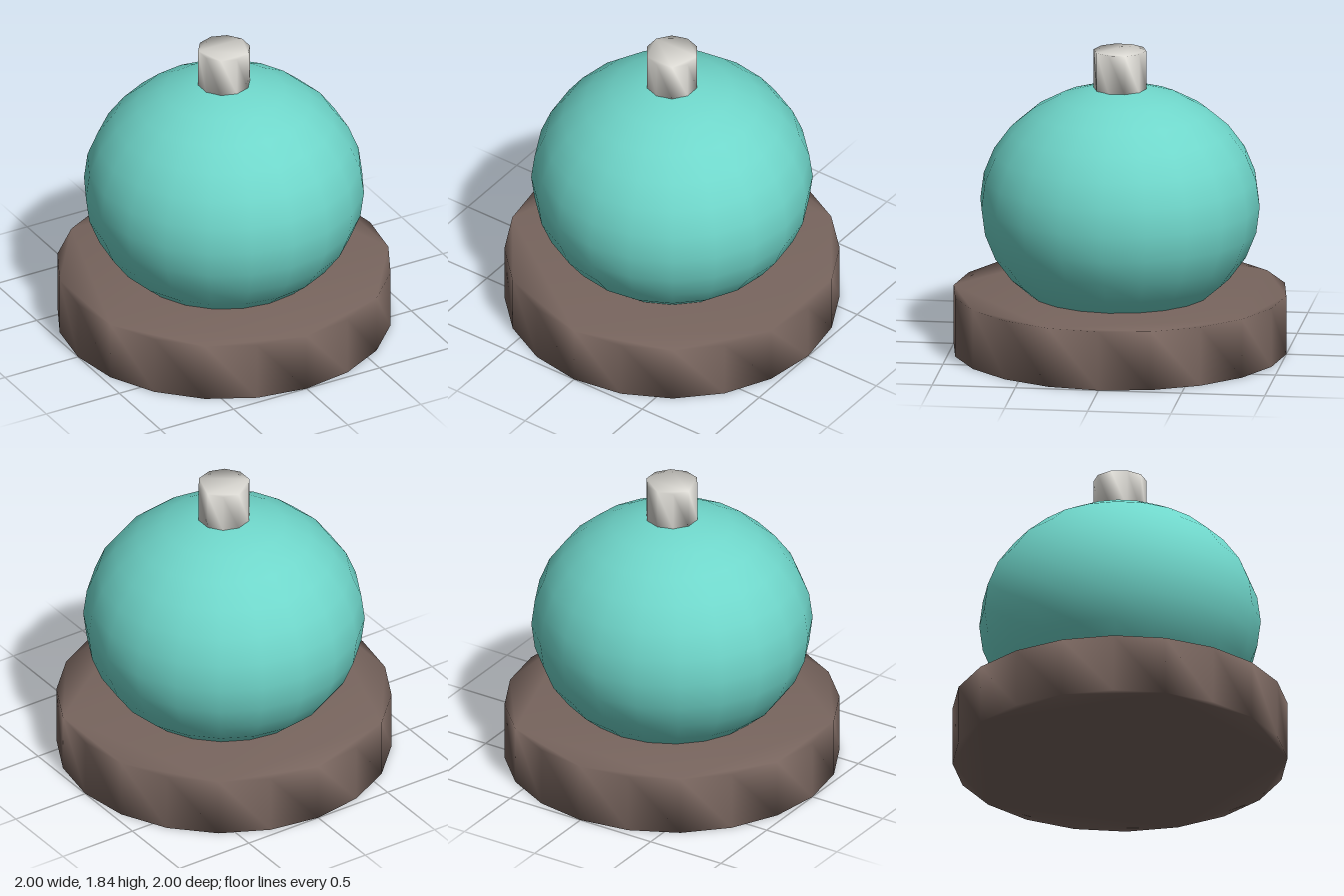
import * as THREE from 'three';
import { mergeVertices } from 'three/addons/utils/BufferGeometryUtils.js';

// Upright prism with normals shared between the sides and the caps
function softPrism(radius, height, sides) {
  const points = [];
  for (let i = 0; i < sides; i++) {
    const a = Math.PI / 2 + (i / sides) * Math.PI * 2;
    points.push(new THREE.Vector2(Math.cos(a) * radius, Math.sin(a) * radius));
  }
  let geometry = new THREE.ExtrudeGeometry(new THREE.Shape(points), {
    depth: height, steps: 1, bevelEnabled: false,
  });
  geometry.rotateX(-Math.PI / 2);
  geometry.deleteAttribute('normal');
  geometry.deleteAttribute('uv');
  geometry = mergeVertices(geometry, 1e-4);
  geometry.clearGroups();
  geometry.computeVertexNormals();
  return geometry;
}

function material(name, color) {
  const m = new THREE.MeshStandardMaterial({ color });
  m.name = name;
  return m;
}

export function createModel() {
  const group = new THREE.Group();
  group.name = 'domedButton';

  const add = (name, geometry, mat, y) => {
    const mesh = new THREE.Mesh(geometry, mat);
    mesh.name = name;
    mesh.position.y = y;
    group.add(mesh);
    return mesh;
  };

  // Round base
  add('base', softPrism(1, 0.36, 20), material('brown', 0x78655e), 0);

  // Flattened globe sunk into the base
  const globe = new THREE.SphereGeometry(0.84, 20, 14);
  globe.scale(1, 0.72 / 0.84, 1);
  add('globe', globe, material('teal', 0x6fd6ca), 0.9);

  // Short cap on top
  add('cap', softPrism(0.158, 0.24, 10), material('offWhite', 0xdcdad4), 1.6);

  return group;
}
